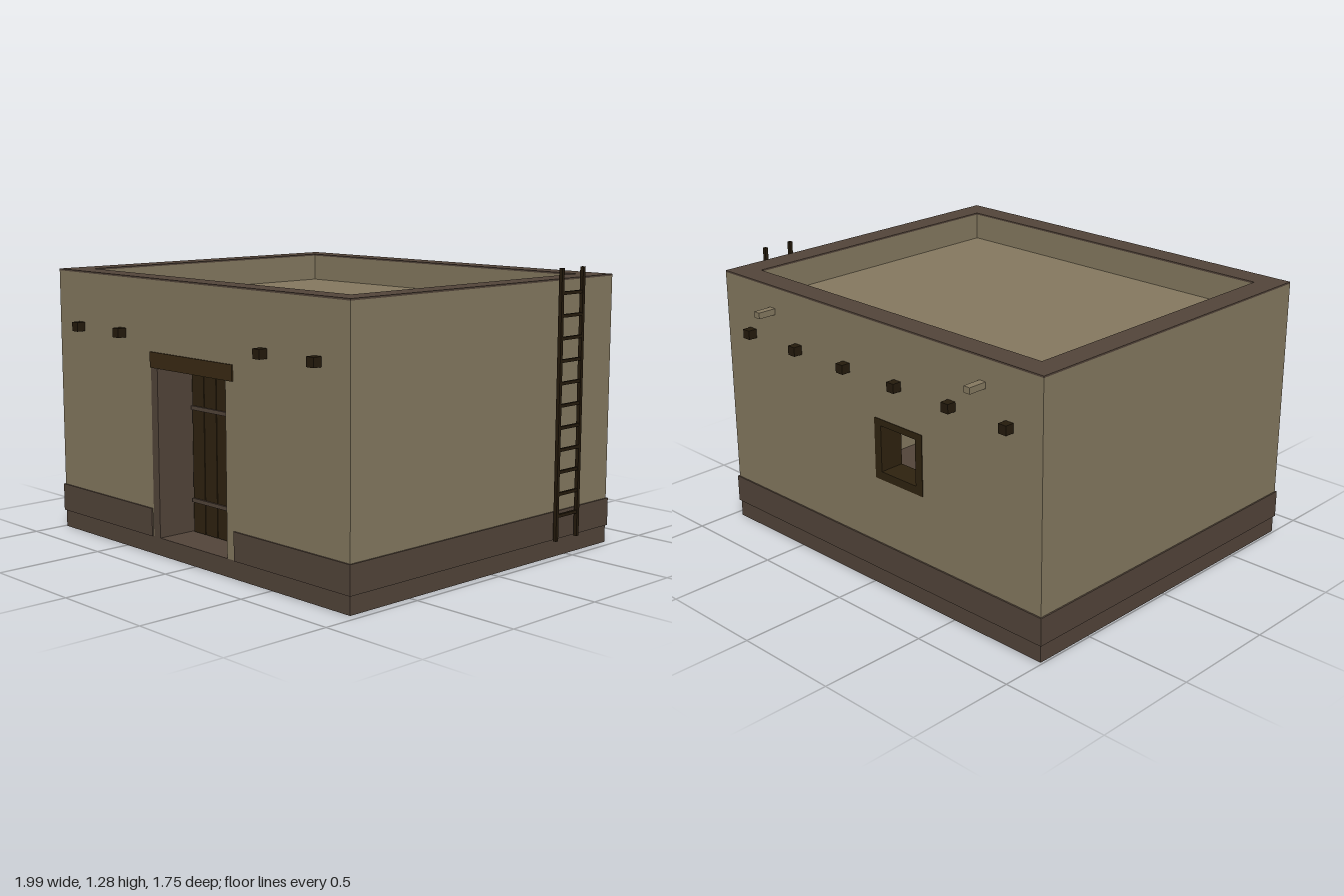
import * as THREE from 'three';

const material = (name, color, side = THREE.FrontSide) => {
  const m = new THREE.MeshStandardMaterial({ color, side });
  m.name = name;
  return m;
};

// Rectangle outline, used for wall faces and holes
function rect(x0, y0, x1, y1, Type = THREE.Shape) {
  const s = new Type();
  s.moveTo(x0, y0);
  s.lineTo(x1, y0);
  s.lineTo(x1, y1);
  s.lineTo(x0, y1);
  s.closePath();
  return s;
}

export function createModel() {
  const house = new THREE.Group();
  house.name = 'adobeHouse';

  const adobe = material('adobe', 0x84785f);
  const trim = material('brownTrim', 0x524439);
  const wood = material('darkWood', 0x2e220f);
  const lintelWood = material('lintelWood', 0x3a2a14);
  const poleWood = material('poleWood', 0x241a0c);

  const add = (name, geometry, mat, parent = house) => {
    const mesh = new THREE.Mesh(geometry, mat);
    mesh.name = name;
    parent.add(mesh);
    return mesh;
  };
  // Box given by its minimum and maximum corners
  const box = (name, mat, x0, x1, y0, y1, z0, z1, parent) => {
    const mesh = add(name, new THREE.BoxGeometry(x1 - x0, y1 - y0, z1 - z0), mat, parent);
    mesh.position.set((x0 + x1) / 2, (y0 + y1) / 2, (z0 + z1) / 2);
    return mesh;
  };
  const extrude = (name, mat, shape, depth) =>
    add(name, new THREE.ExtrudeGeometry(shape, { depth, bevelEnabled: false }), mat);

  // Overall plan
  const L = -0.99, R = 0.96, B = -0.79, F = 0.835;
  const base = 0.08, top = 1.224, wall = 0.113;

  // Foundation and floor
  box('foundation', trim, L, R, 0, base, B, F);

  // Front wall with a doorway
  const front = new THREE.Shape();
  [[L, base], [-0.295, base], [-0.295, 0.84], [0.215, 0.84], [0.215, base],
    [R, base], [R, top], [L, top]].forEach(([x, y], i) => (i ? front.lineTo(x, y) : front.moveTo(x, y)));
  extrude('frontWall', adobe, front, wall).position.z = F - wall;

  // Back wall with a window
  const back = rect(L, base, R, top);
  back.holes.push(rect(-0.32, 0.515, -0.03, 0.795, THREE.Path));
  extrude('backWall', adobe, back, wall).position.z = B;

  // Side walls
  box('rightWall', adobe, L, L + wall, base, top, B + wall, F - wall);
  box('leftWall', adobe, R - wall, R, base, top, B + wall, F - wall);

  // Sunken roof and parapet coping
  box('roof', adobe, L + wall, R - wall, 1.02, 1.1, B + wall, F - wall);
  const coping = rect(L, -F, R, -B);
  coping.holes.push(rect(L + wall, -F + wall, R - wall, -B - wall, THREE.Path));
  const cap = extrude('parapetCoping', trim, coping, 0.008);
  cap.rotation.x = -Math.PI / 2;
  cap.position.y = top;

  // Painted band around the foot of the walls
  const out = 0.007, bandTop = 0.207;
  box('frontBand', trim, L - out, -0.3, base, bandTop, F, F + out);
  box('frontBand', trim, 0.267, R + out, base, bandTop, F, F + out);
  box('backBand', trim, L - out, R + out, base, bandTop, B - out, B);
  box('rightBand', trim, L - out, L, base, bandTop, B, F);
  box('leftBand', trim, R, R + out, base, bandTop, B, F);

  // Door frame
  const doorZ = 0.635;
  box('doorPost', trim, -0.295, -0.25, base, 0.84, doorZ, F);
  box('doorPost', trim, 0.216, 0.265, base, 0.84, doorZ, F - 0.002);
  box('lintel', lintelWood, -0.295, 0.265, 0.84, 0.91, doorZ, F + 0.006);

  // Plank door with two straps
  const door = new THREE.Group();
  door.name = 'door';
  house.add(door);
  const planks = 5, pitch = 0.085;
  for (let i = 0; i < planks; i++) {
    const x = -0.23 + i * pitch;
    box('plank', wood, x, x + pitch - 0.004, 0.083, 0.825, doorZ, doorZ + 0.025, door);
  }
  for (const y of [0.23, 0.65]) {
    box('doorStrap', trim, -0.23, 0.193, y - 0.009, y + 0.009, doorZ + 0.02, doorZ + 0.033, door);
  }

  // Window frame in the back wall
  const frame = new THREE.Group();
  frame.name = 'windowFrame';
  house.add(frame);
  const w0 = B - 0.003, w1 = B + wall;
  box('windowJamb', wood, -0.32, -0.28, 0.515, 0.795, w0, w1, frame);
  box('windowJamb', wood, -0.07, -0.03, 0.515, 0.795, w0, w1, frame);
  box('windowSill', wood, -0.28, -0.07, 0.515, 0.553, w0, w1, frame);
  box('windowHead', wood, -0.28, -0.07, 0.765, 0.795, w0, w1, frame);

  // Roof beam ends
  const beams = [-0.815, -0.497, -0.178, 0.141, 0.46, 0.779];
  const h = 0.021;
  beams.forEach((x, i) => {
    box('backBeamEnd', poleWood, x - h, x + h, 0.977 - h, 0.977 + h, B - 0.042, B);
    if (i !== 2 && i !== 3) {
      box('frontBeamEnd', poleWood, x - h, x + h, 0.977 - h, 0.977 + h, F, F + 0.042);
    }
  });

  // Rain spouts
  for (const x of [-0.67, 0.63]) {
    box('rainSpout', adobe, x - 0.017, x + 0.017, 1.1, 1.128, B - 0.088, B);
  }

  // Ladder leaning on the side wall
  const ladder = new THREE.Group();
  ladder.name = 'ladder';
  house.add(ladder);
  for (const z of [-0.538, -0.393]) {
    box('ladderPole', poleWood, 0.98, 0.997, base, 1.28, z - 0.008, z + 0.008, ladder);
  }
  for (let i = 0; i < 11; i++) {
    const y = 0.192 + i * 0.098;
    box('rung', poleWood, 0.982, 0.995, y - 0.007, y + 0.007, -0.53, -0.4, ladder);
  }

  return house;
}
